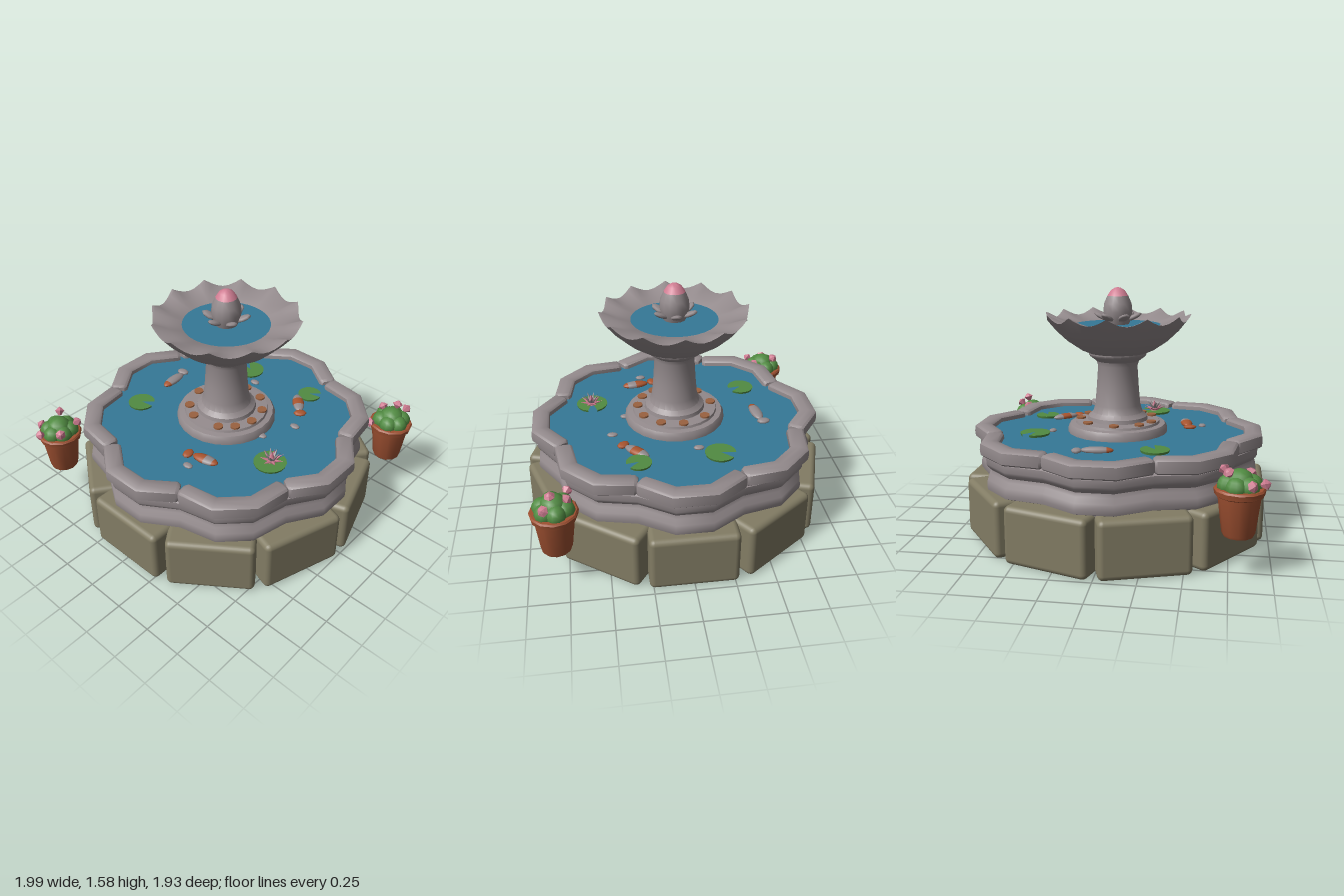
import * as THREE from 'three';
import { toCreasedNormals } from 'three/addons/utils/BufferGeometryUtils.js';
import { RoundedBoxGeometry } from 'three/addons/geometries/RoundedBoxGeometry.js';

const material = (name, color) => Object.assign(new THREE.MeshStandardMaterial({ color }), { name });
const MAT = {
  stone: material('grey stone', 0x948b8d),
  block: material('olive stone', 0x827c64),
  water: material('water', 0x357897),
  leaf: material('leaf green', 0x518b42),
  clay: material('terracotta', 0x9e5031),
  pink: material('petal pink', 0xcf7d92),
  koi: material('koi orange', 0xa9552f),
  coin: material('copper', 0x9a6240),
};
const TAU = Math.PI * 2;
const V = (x, y, z) => new THREE.Vector3(x, y, z);

function add(parent, name, geometry, mat, x = 0, y = 0, z = 0) {
  const mesh = new THREE.Mesh(geometry, mat);
  mesh.name = name;
  mesh.position.set(x, y, z);
  parent.add(mesh);
  return mesh;
}

// Skin through equal-length closed rings, with a fan at both ends
function loft(rings, crease = 0.7) {
  const n = rings[0].length, pos = [], index = [];
  rings.forEach(r => r.forEach(p => pos.push(p.x, p.y, p.z)));
  for (let i = 0; i < rings.length - 1; i++) for (let j = 0; j < n; j++) {
    const a = i * n + j, b = i * n + (j + 1) % n;
    index.push(a, a + n, b, b, a + n, b + n);
  }
  [0, rings.length - 1].forEach((k, end) => {
    const c = rings[k].reduce((s, p) => s.add(p), V(0, 0, 0)).divideScalar(n);
    const ci = pos.length / 3;
    pos.push(c.x, c.y, c.z);
    for (let j = 0; j < n; j++) {
      const a = k * n + j, b = k * n + (j + 1) % n;
      end ? index.push(b, a, ci) : index.push(a, b, ci);
    }
  });
  const g = new THREE.BufferGeometry();
  g.setAttribute('position', new THREE.Float32BufferAttribute(pos, 3));
  g.setIndex(index);
  return toCreasedNormals(g, crease);
}

const lathe = (pts, sides, crease = 0.6) =>
  toCreasedNormals(new THREE.LatheGeometry(pts.map(p => new THREE.Vector2(...p)), sides), crease);

// Plan of the eight-lobed pond: [angle, radius] going round
const PLAN = [];
for (let k = 0; k < 8; k++) {
  const a = k * TAU / 8;
  PLAN.push([a - 0.123, 0.895], [a + 0.123, 0.895], [a + TAU / 16, 0.82]);
}
const planRing = (offset, y) => PLAN.map(([a, r]) => V(Math.cos(a) * (r + offset), y, Math.sin(a) * (r + offset)));

// One rim stone: a rounded bar bent along a lobe
function rimStone() {
  const path = [V(0.75, 0, -0.305), V(0.89, 0, -0.115), V(0.89, 0, 0.115), V(0.75, 0, 0.305)];
  const ring = (p, normal, wide, s) => Array.from({ length: 12 }, (_, j) => {
    const c = Math.cos(j / 12 * TAU), d = Math.sin(j / 12 * TAU);
    const u = Math.sign(c) * Math.sqrt(Math.abs(c)) * 0.058 * wide * s;
    const v = -Math.sign(d) * Math.sqrt(Math.abs(d)) * 0.048 * s;
    return V(p.x + normal.x * u, 0.622 + v, p.z + normal.z * u);
  });
  const t0 = path[1].clone().sub(path[0]).normalize(), n0 = V(t0.z, 0, -t0.x);
  const t1 = path[3].clone().sub(path[2]).normalize(), n1 = V(t1.z, 0, -t1.x);
  const m0 = n0.clone().add(V(1, 0, 0)).normalize(), m1 = n1.clone().add(V(1, 0, 0)).normalize();
  return loft([
    ring(path[0], n0, 1, 0.75), ring(path[0].clone().addScaledVector(t0, 0.02), n0, 1, 1),
    ring(path[1], m0, 1.06, 1), ring(path[2], m1, 1.06, 1),
    ring(path[3].clone().addScaledVector(t1, -0.02), n1, 1, 1), ring(path[3], n1, 1, 0.75),
  ]);
}

// Scalloped upper bowl: [radius, height, share of the scallop]
function bowlGeometry() {
  const profile = [[0.18, 1.15, 0], [0.24, 1.175, 0], [0.33, 1.235, 0.15], [0.40, 1.30, 0.4], [0.455, 1.365, 1],
    [0.44, 1.365, 0.9], [0.36, 1.35, 0.2], [0.28, 1.335, 0], [0.24, 1.31, 0]];
  return loft(profile.map(([r, y, w]) => Array.from({ length: 72 }, (_, j) => {
    const a = j / 72 * TAU, s = w * (1 - Math.abs(Math.sin(6 * a)));
    return V(Math.cos(a) * (r + 0.022 * s), y + 0.045 * s, Math.sin(a) * (r + 0.022 * s));
  })), 0.8);
}

// Small flower standing on +y
const flowerGeo = toCreasedNormals(new THREE.LatheGeometry(
  [[0, 0], [0.012, 0.005], [0.034, 0.035], [0.018, 0.05], [0, 0.062]].map(p => new THREE.Vector2(...p)), 6), 0.1);

function pottedCactus(name, x, z, flowers) {
  const g = new THREE.Group();
  g.name = name;
  g.position.set(x, 0, z);
  add(g, 'pot', lathe([[0, 0.255], [0.088, 0.255], [0.095, 0.27], [0.122, 0.485], [0.14, 0.495], [0.146, 0.525],
    [0.138, 0.535], [0.115, 0.535], [0.11, 0.515], [0, 0.515]], 12), MAT.clay);
  const ball = new THREE.SphereGeometry(1, 10, 8);
  add(g, 'cactus', ball, MAT.leaf, 0, 0.56, 0).scale.set(0.085, 0.08, 0.085);
  for (let i = 0; i < 6; i++) {
    const a = i / 6 * TAU + 0.3;
    add(g, 'cactusLobe', ball, MAT.leaf, Math.cos(a) * 0.068, 0.545, Math.sin(a) * 0.068)
      .scale.set(0.062, 0.062, 0.062);
  }
  flowers.forEach(([fx, fy, fz]) => {
    const f = add(g, 'cactusFlower', flowerGeo, MAT.pink, fx, fy, fz);
    f.quaternion.setFromUnitVectors(V(0, 1, 0), V(fx, fy - 0.52, fz).normalize());
  });
  return g;
}

// Koi: bands of one flattened ellipsoid plus a tail, heading along +z before turning
function koi(x, z, angle, length, bands, tailMat, tailX, tailZ) {
  const g = new THREE.Group();
  g.name = 'koi';
  let from = 0;
  bands.forEach(([to, mat]) => {
    const geo = new THREE.SphereGeometry(1, 10, 5, 0, TAU, from * Math.PI, (to - from) * Math.PI).rotateX(Math.PI / 2);
    const body = add(g, 'koiBody', geo, mat, x, 0.64, z);
    body.scale.set(0.04, 0.022, length / 2);
    body.rotation.y = angle;
    from = to;
  });
  const tail = add(g, 'koiTail', new THREE.SphereGeometry(1, 8, 6), tailMat, tailX, 0.64, tailZ);
  tail.scale.set(0.045, 0.015, 0.033);
  tail.rotation.y = angle;
  return g;
}

export function createModel() {
  const model = new THREE.Group();
  model.name = 'fountain';

  // Foundation blocks
  const blockGeo = new RoundedBoxGeometry(0.2, 0.36, 0.55, 3, 0.035);
  for (let i = 0; i < 10; i++) {
    const a = (i + 0.5) / 10 * TAU;
    add(model, 'foundationBlock', blockGeo, MAT.block, Math.cos(a) * 0.865, 0.18, Math.sin(a) * 0.865).rotation.y = -a;
  }

  // Lobed basin wall with moulded bands
  const wall = [[-0.05, 0.03], [-0.01, 0.35], [0.025, 0.365], [0.03, 0.39], [0.025, 0.43], [0, 0.46], [-0.005, 0.485],
    [0.02, 0.51], [0.03, 0.53], [0.03, 0.57], [0, 0.585]];
  add(model, 'basin', loft(wall.map(([o, y]) => planRing(o, y)), 0.8), MAT.stone);
  const rimGeo = rimStone();
  for (let i = 0; i < 8; i++) add(model, 'rimStone', rimGeo, MAT.stone).rotation.y = i * TAU / 8;
  const pond = new THREE.Shape(planRing(-0.01, 0).map(p => new THREE.Vector2(p.x, -p.z)));
  add(model, 'pondWater', new THREE.ShapeGeometry(pond).rotateX(-Math.PI / 2), MAT.water, 0, 0.63, 0);

  // Pedestal and bowl
  add(model, 'pedestal', lathe([[0.31, 0.6], [0.33, 0.625], [0.33, 0.66], [0.315, 0.685], [0.28, 0.69], [0.275, 0.705],
    [0.2, 0.71], [0.195, 0.735], [0.165, 0.76], [0.15, 0.81], [0.14, 0.92], [0.13, 1.07], [0.14, 1.1], [0.18, 1.13],
    [0.19, 1.145], [0.19, 1.16], [0, 1.16]], 24), MAT.stone);
  add(model, 'bowl', bowlGeometry(), MAT.stone);
  add(model, 'bowlWater', new THREE.CircleGeometry(0.278, 32).rotateX(-Math.PI / 2), MAT.water, 0, 1.338, 0);

  // Bud finial with leaves
  add(model, 'bud', lathe([[0.065, 1.32], [0.085, 1.37], [0.095, 1.42], [0.09, 1.47], [0.068, 1.52]], 14), MAT.stone);
  add(model, 'budTip', lathe([[0.068, 1.52], [0.045, 1.555], [0.02, 1.57], [0, 1.575]], 14), MAT.pink);
  const leafGeo = new THREE.SphereGeometry(1, 8, 6).scale(0.055, 0.016, 0.036);
  for (let i = 0; i < 6; i++) {
    const a = i / 6 * TAU + Math.PI / 2, pivot = new THREE.Group();
    pivot.name = 'budLeaf';
    pivot.rotation.y = a;
    add(pivot, 'leaf', leafGeo, MAT.stone, 0.105, 1.385, 0).rotation.z = 0.45;
    model.add(pivot);
  }

  // Lily pads: x, z, radius, direction of the notch
  [[-0.22, -0.51, 0.098, -1, -0.5], [0.29, -0.55, 0.08, 1, -0.5], [-0.515, 0.3, 0.09, 1, -0.45], [0.545, 0.2, 0.105, 0, -1]]
    .forEach(([x, z, r, dx, dz]) => add(model, 'lilyPad', new THREE.CylinderGeometry(r, r * 0.95, 0.015, 16, 1, false,
      Math.atan2(dx, dz) + 0.3, TAU - 0.6), MAT.leaf, x, 0.643, z));

  // Lotus: an outer ring of low petals and an inner ring of upright ones
  const petalGeo = new THREE.ConeGeometry(0.022, 0.085, 5).scale(1, 1, 0.45).translate(0, 0.0425, 0);
  for (let i = 0; i < 14; i++) {
    const inner = i % 2, p = add(model, 'lotusPetal', petalGeo, inner ? MAT.stone : MAT.pink, 0.55, 0.65, 0.19);
    p.rotation.set(0, i / 14 * TAU, 0);
    p.rotateX(inner ? 0.65 : 1.2);
  }
  add(model, 'lotusHeart', new THREE.ConeGeometry(0.03, 0.075, 6), MAT.pink, 0.55, 0.687, 0.19);

  // Koi and drifting petals
  const S = MAT.stone, K = MAT.koi;
  model.add(koi(-0.55, -0.045, 0.1, 0.2, [[0.3, K], [1, S]], S, -0.575, -0.165));
  model.add(koi(0.29, -0.42, 0.75, 0.19, [[0.4, S], [0.62, K], [1, S]], K, 0.37, -0.335));
  model.add(koi(0.225, 0.445, 1.75, 0.18, [[0.28, K], [0.5, S], [1, K]], K, 0.105, 0.475));
  [[0.18, 0.555], [0.43, -0.2], [0.33, 0.02], [-0.1, -0.42]].forEach(([x, z]) =>
    add(model, 'driftingPetal', new THREE.SphereGeometry(1, 8, 6), S, x, 0.635, z).scale.set(0.036, 0.012, 0.025));

  // Coins on the pedestal step
  const coinGeo = new THREE.CylinderGeometry(0.032, 0.032, 0.012, 12);
  [0.1, 0.6, 1.05, 1.9, 2.4, 3.1, 3.9, 4.6, 5.2, 5.8].forEach(a =>
    add(model, 'coin', coinGeo, MAT.coin, Math.cos(a) * 0.245, 0.714, Math.sin(a) * 0.245));

  // Two potted cacti on opposite corners
  model.add(pottedCactus('frontPot', -0.8, 0.8,
    [[-0.05, 0.61, -0.05], [0.07, 0.59, -0.07], [0.08, 0.575, 0.05], [-0.02, 0.555, 0.11], [-0.08, 0.56, 0.05]]));
  model.add(pottedCactus('backPot', 0.81, -0.8,
    [[-0.06, 0.59, -0.01], [0.01, 0.63, -0.03], [-0.065, 0.555, 0.115], [0.04, 0.59, -0.08]]));

  return model;
}
